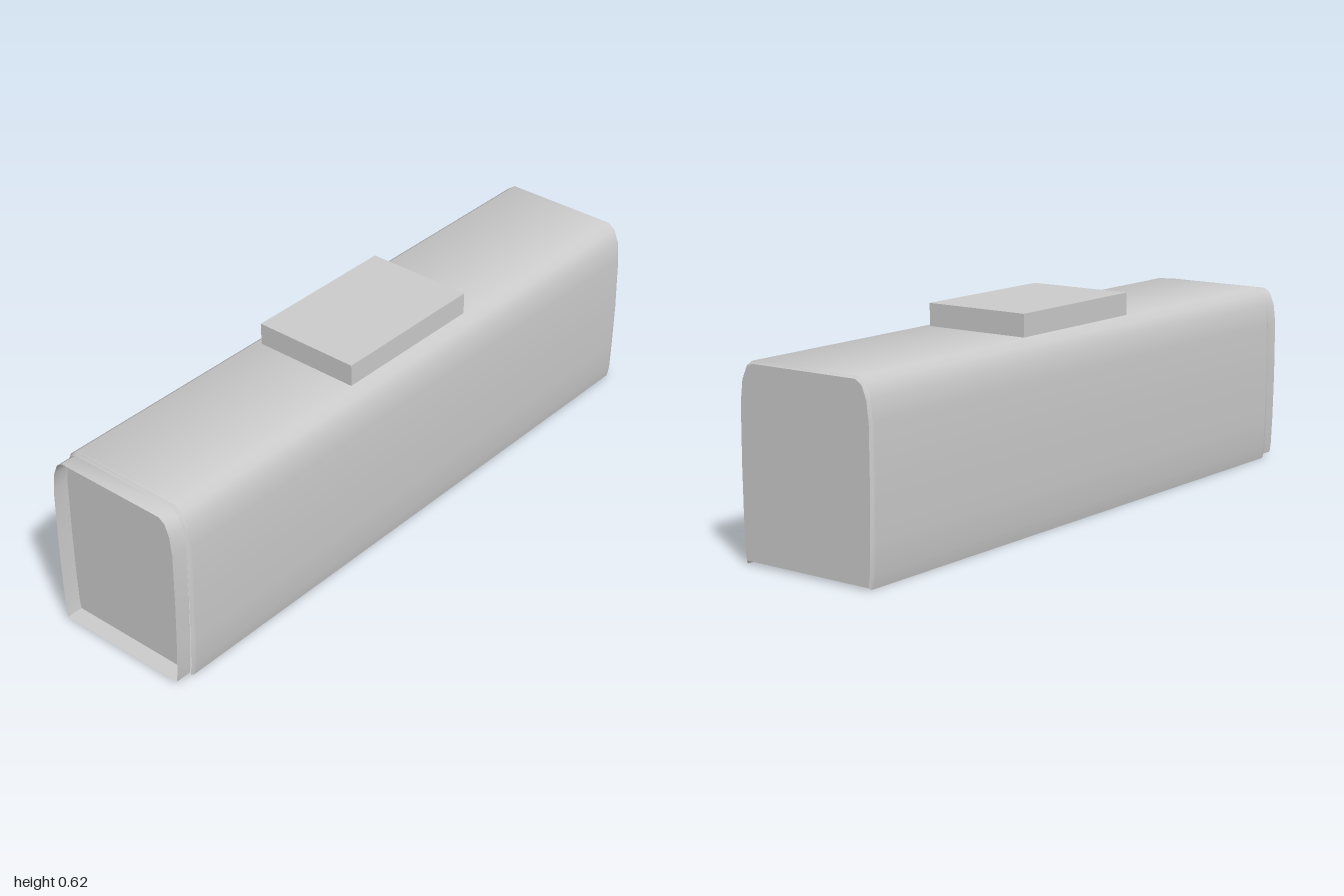
import * as THREE from 'three';
import { toCreasedNormals } from 'three/addons/utils/BufferGeometryUtils.js';

// Right half of the cross-sections, from bottom to top
const OUTER = [[0.212, 0.009], [0.217, 0], [0.225, 0.04], [0.228, 0.13], [0.231, 0.27], [0.229, 0.44], [0.223, 0.5], [0.206, 0.54], [0.184, 0.556]];
const RIM = [[0.212, 0.01], [0.215, 0.006], [0.219, 0.04], [0.222, 0.13], [0.224, 0.27], [0.223, 0.44], [0.216, 0.497], [0.201, 0.535], [0.18, 0.549]];
const COLLAR = [[0.211, 0.01], [0.215, 0.04], [0.219, 0.13], [0.222, 0.27], [0.222, 0.44], [0.215, 0.497], [0.2, 0.534], [0.18, 0.548]];

// Mirror a half section into a closed counter-clockwise ring
const mirror = (half) => [...half, ...half.map(([x, y]) => [-x, y]).reverse()];

// Join rings along z and close the back end
function loft(sections) {
  const pos = [];
  const tri = (a, b, c) => pos.push(...a, ...b, ...c);
  const rings = sections.map(([half, z]) => mirror(half).map(([x, y]) => [x, y, z]));
  const n = rings[0].length;
  for (let s = 0; s < rings.length - 1; s++) {
    for (let i = 0; i < n; i++) {
      const j = (i + 1) % n, a = rings[s], b = rings[s + 1];
      tri(a[i], a[j], b[j]);
      tri(a[i], b[j], b[i]);
    }
  }
  const back = rings[0];
  for (let i = 1; i < n - 1; i++) tri(back[0], back[i + 1], back[i]);
  const g = new THREE.BufferGeometry();
  g.setAttribute('position', new THREE.Float32BufferAttribute(pos, 3));
  return toCreasedNormals(g, 0.69);
}

export function createModel() {
  const group = new THREE.Group();
  const grey = new THREE.MeshStandardMaterial({ color: 0xcccccc, side: THREE.DoubleSide });
  grey.name = 'light grey';
  const add = (name, geometry) => {
    const mesh = new THREE.Mesh(geometry, grey);
    mesh.name = name;
    group.add(mesh);
    return mesh;
  };

  // Long body with softened ends; the extra rings keep the long sides evenly shaded
  add('body', loft([[RIM, -1], [OUTER, -0.992], [OUTER, -0.985], [OUTER, 0.935], [OUTER, 0.942], [RIM, 0.95]]));

  // Thin open collar around the recessed front panel
  add('frontCollar', loft([[COLLAR, 0.949], [COLLAR, 1]]));

  // Box on the roof
  add('roofBox', new THREE.BoxGeometry(0.338, 0.074, 0.505)).position.set(0, 0.586, -0.025);

  return group;
}
